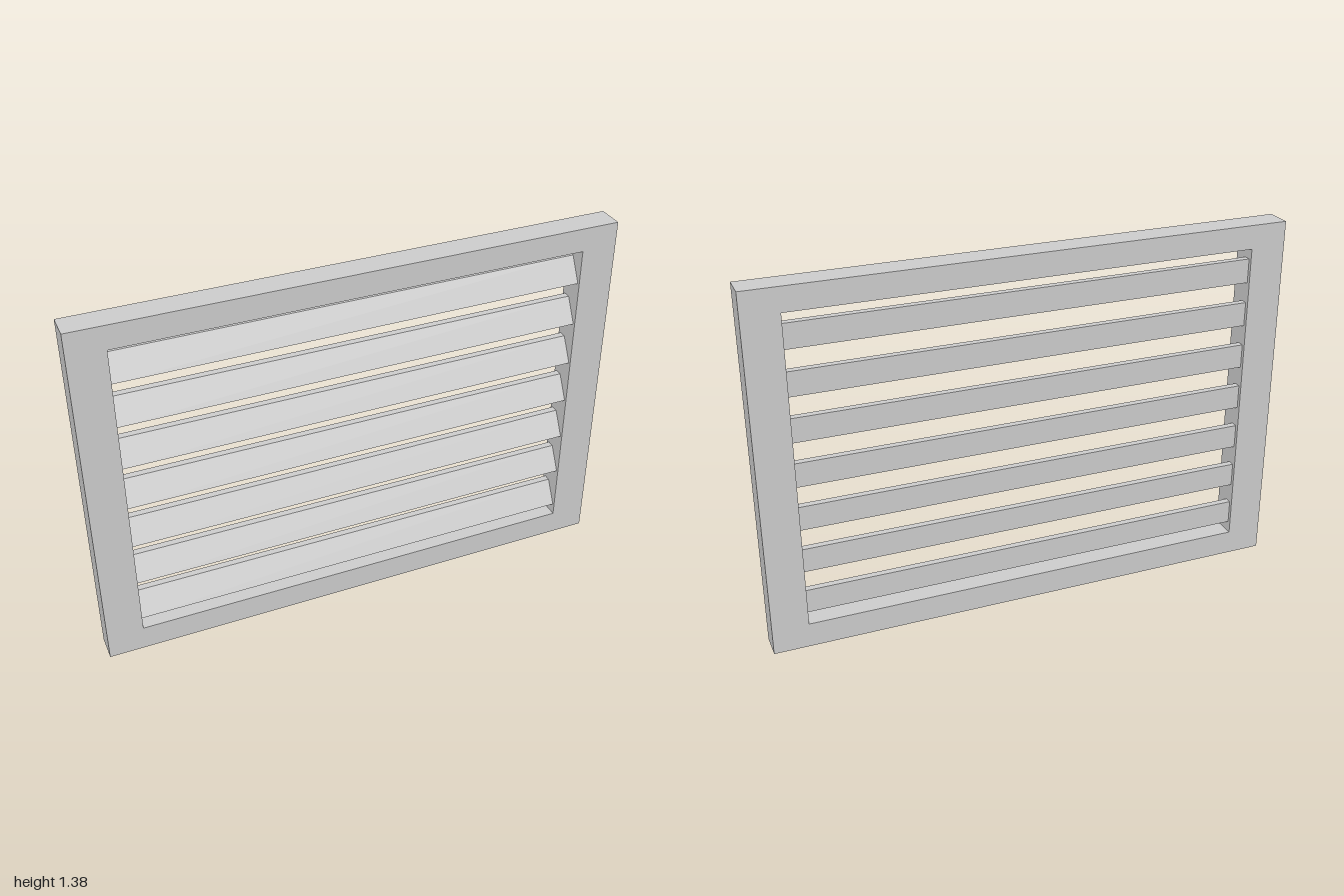
import * as THREE from 'three';

const WIDTH = 2, HEIGHT = 1.38, DEPTH = 0.1;
const OPENING = { x: 0.865, bottom: 0.095, top: 1.29 };
const SLATS = 7, FIRST_SLAT = 0.137, PITCH = 0.17;

const polygon = (points, Type = THREE.Shape) =>
  new Type(points.map(([x, y]) => new THREE.Vector2(x, y)));

const rectangle = (halfWidth, bottom, top) => [
  [-halfWidth, bottom], [halfWidth, bottom], [halfWidth, top], [-halfWidth, top],
];

export function createModel() {
  const group = new THREE.Group();
  group.name = 'louvredVent';
  const material = new THREE.MeshStandardMaterial({ color: 0xcccccc, flatShading: true });

  // Rectangular frame around one opening
  const outline = polygon(rectangle(WIDTH / 2, 0, HEIGHT));
  outline.holes.push(polygon(rectangle(OPENING.x, OPENING.bottom, OPENING.top), THREE.Path));
  const frameGeometry = new THREE.ExtrudeGeometry(outline, { depth: DEPTH, bevelEnabled: false });
  frameGeometry.translate(0, 0, -DEPTH / 2);
  const frame = new THREE.Mesh(frameGeometry, material);
  frame.name = 'frame';
  group.add(frame);

  // Slat section as (-z, y): sloped front, narrow flat top, upright back
  const section = polygon([[-0.041, 0], [0.036, 0], [0.036, 0.092], [0.01, 0.092]]);
  const slatGeometry = new THREE.ExtrudeGeometry(section, { depth: OPENING.x * 2, bevelEnabled: false });
  slatGeometry.translate(0, 0, -OPENING.x).rotateY(Math.PI / 2);

  // Evenly spaced slats spanning the opening
  const slats = new THREE.Group();
  slats.name = 'slats';
  for (let i = 0; i < SLATS; i++) {
    const slat = new THREE.Mesh(slatGeometry, material);
    slat.name = `slat${i + 1}`;
    slat.position.y = FIRST_SLAT + i * PITCH;
    slats.add(slat);
  }
  group.add(slats);

  return group;
}
